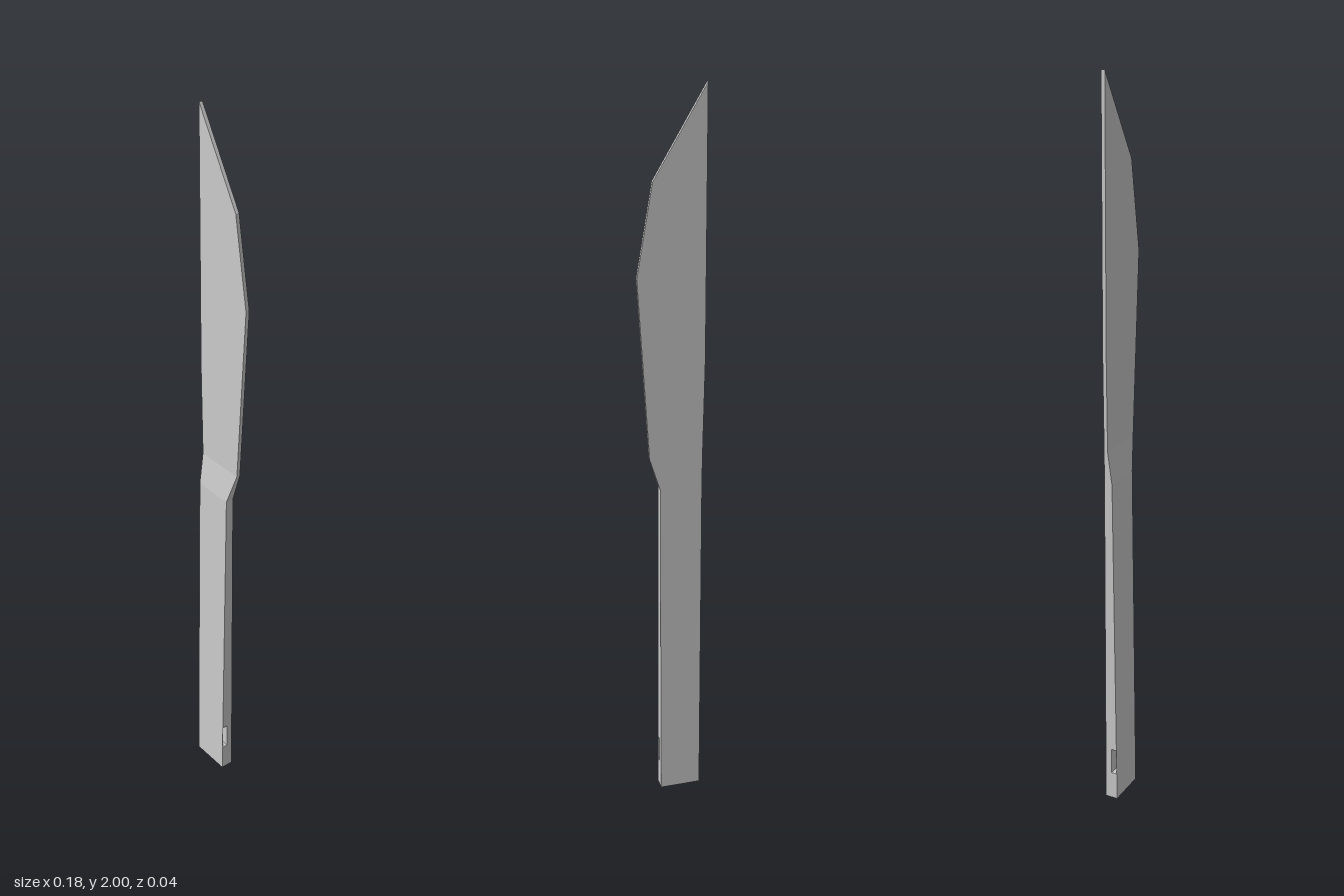
import * as THREE from 'three';

const BACK = -0.018, BLADE_FRONT = -0.008, NECK_FRONT = 0.004;
const HANDLE_L = -0.084, HANDLE_R = 0.029, NECK_Y = 0.95, BLADE_Y = 1.04;

const points = (list) => list.map(([x, y]) => new THREE.Vector2(x, y));

export function createModel() {
  const group = new THREE.Group();
  const material = new THREE.MeshStandardMaterial({ color: 0xcccccc, flatShading: true });
  const add = (name, geometry) => {
    const mesh = new THREE.Mesh(geometry, material);
    mesh.name = name;
    group.add(mesh);
  };

  // Flat blade with a straight spine and an angular cutting edge
  const outline = new THREE.Shape(points([
    [-0.085, BLADE_Y], [0.057, BLADE_Y], [0.087, 1.53], [0.046, 1.77], [-0.09, 2], [-0.09, 1.3],
  ]));
  const blade = new THREE.ExtrudeGeometry(outline, { depth: BLADE_FRONT - BACK, bevelEnabled: false });
  blade.translate(0, 0, BACK);
  add('blade', blade);

  // Neck: a box whose corners flare and thin out towards the blade
  const neck = new THREE.BoxGeometry(1, 1, 1);
  const p = neck.attributes.position;
  for (let i = 0; i < p.count; i++) {
    const top = p.getY(i) > 0, right = p.getX(i) > 0, front = p.getZ(i) > 0;
    p.setXYZ(i,
      right ? (top ? 0.057 : HANDLE_R) : (top ? -0.085 : HANDLE_L),
      top ? BLADE_Y : NECK_Y,
      front ? (top ? BLADE_FRONT : NECK_FRONT) : BACK);
  }
  neck.computeVertexNormals();
  add('neck', neck);

  // Handle: side profile, thicker at the butt, with a slot running across it
  const profile = new THREE.Shape(points([
    [BACK, 0], [0.017, 0], [NECK_FRONT, NECK_Y], [BACK, NECK_Y],
  ]));
  profile.holes.push(new THREE.Path(points([
    [0, 0.08], [0, 0.155], [0.0142, 0.155], [0.0152, 0.08],
  ])));
  const handle = new THREE.ExtrudeGeometry(profile, { depth: HANDLE_R - HANDLE_L, bevelEnabled: false });
  handle.rotateY(-Math.PI / 2);
  handle.translate(HANDLE_R, 0, 0);
  add('handle', handle);

  return group;
}
